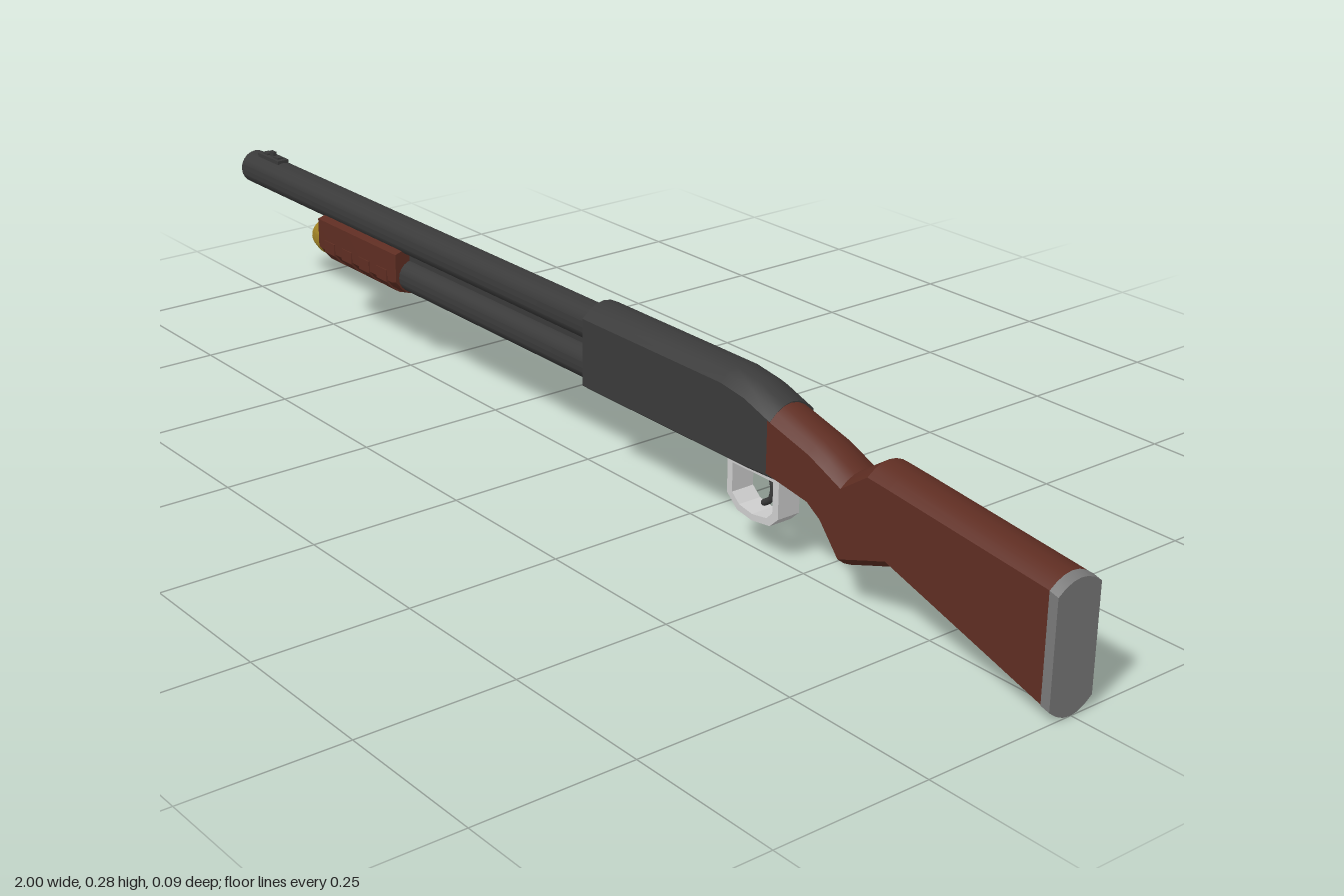
import * as THREE from 'three';
import { toCreasedNormals } from 'three/addons/utils/BufferGeometryUtils.js';

const mat = (name, color, side = THREE.FrontSide) => {
  const m = new THREE.MeshStandardMaterial({ color, side });
  m.name = name;
  return m;
};

// Cross-section with flat sides and a bowed top and bottom, in the yz plane
function ring([x, top, bottom, half, riseTop, riseBottom]) {
  const pts = [], n = 6;
  for (let i = 0; i <= n; i++) {
    const t = 1 - (2 * i) / n;
    pts.push([x, top - riseTop * t * t, half * t]);
  }
  for (let i = 0; i <= n; i++) {
    const t = -1 + (2 * i) / n;
    pts.push([x, bottom + riseBottom * t * t, half * t]);
  }
  return pts;
}

// Skin a row of cross-sections along x and close both ends
function loft(sections) {
  const rings = sections.map(ring), pos = [];
  const tri = (a, b, c) => pos.push(...a, ...b, ...c);
  const n = rings[0].length;
  for (let i = 0; i < rings.length - 1; i++) {
    for (let j = 0; j < n; j++) {
      const k = (j + 1) % n;
      const a = rings[i][j], b = rings[i][k], c = rings[i + 1][k], d = rings[i + 1][j];
      tri(a, d, b);
      tri(b, d, c);
    }
  }
  const first = rings[0], last = rings[rings.length - 1];
  for (let j = 1; j < n - 1; j++) {
    tri(first[0], first[j], first[j + 1]);
    tri(last[0], last[j + 1], last[j]);
  }
  const g = new THREE.BufferGeometry();
  g.setAttribute('position', new THREE.Float32BufferAttribute(pos, 3));
  return toCreasedNormals(g, 0.4);
}

// Turn a [radius, x] profile around a horizontal axis
function turned(profile, segments = 20) {
  const g = new THREE.LatheGeometry(profile.map(([r, x]) => new THREE.Vector2(r, -x)), segments);
  g.rotateZ(Math.PI / 2);
  return toCreasedNormals(g, 0.6);
}

export function createModel() {
  const group = new THREE.Group();
  const metal = mat('dark metal', 0x3a3a3a);
  const black = mat('black recess', 0x161616);
  const wood = mat('red brown wood', 0x5e2d22);
  const pad = mat('grey pad', 0x787878);
  const brass = mat('brass', 0xa08224);
  const silver = mat('silver', 0xcccccc);

  const add = (name, geometry, material, x = 0, y = 0, z = 0) => {
    const m = new THREE.Mesh(geometry, material);
    m.name = name;
    m.position.set(x, y, z);
    group.add(m);
    return m;
  };
  const box = (name, material, w, h, d, x, y, z) =>
    add(name, new THREE.BoxGeometry(w, h, d), material, x, y, z);

  // Barrel with a shallow open bore, and the tube below it
  add('barrel', turned([[0, 0.06], [0.0295, 0.06], [0.0295, -1], [0.023, -1], [0.023, -0.97]]), metal, 0, 0.235);
  add('bore', turned([[0.0235, -0.96], [0.0235, -0.97], [0, -0.97]]), black, 0, 0.235);
  add('lowerTube', turned([[0, 0.06], [0.028, 0.06], [0.028, -0.72], [0, -0.72]]), metal, 0, 0.168);
  box('tubeSpacer', metal, 0.55, 0.03, 0.012, -0.22, 0.2, 0);

  // Front sight
  box('sightBase', metal, 0.07, 0.012, 0.022, -0.935, 0.263, 0);
  for (const dx of [-0.018, 0.018]) box('sightStep', metal, 0.016, 0.006, 0.012, -0.935 + dx, 0.269, 0);
  box('sightPost', metal, 0.014, 0.014, 0.006, -0.935, 0.271, 0);

  // Sliding grip with raised ribs underneath
  add('foreGrip', loft([
    [-0.73, 0.217, 0.136, 0.034, 0.006, 0.026],
    [-0.72, 0.218, 0.134, 0.036, 0.006, 0.026],
    [-0.495, 0.218, 0.134, 0.036, 0.006, 0.026],
    [-0.485, 0.217, 0.136, 0.034, 0.006, 0.026],
  ]), wood);
  for (let i = 0; i < 4; i++) {
    const x = -0.69 + i * 0.055;
    add('gripRib', loft([
      [x - 0.016, 0.18, 0.131, 0.0375, 0.002, 0.026],
      [x + 0.016, 0.18, 0.131, 0.0375, 0.002, 0.026],
    ]), wood);
  }

  // Brass end cap
  add('endCap', turned([
    [0, -0.72], [0.031, -0.72], [0.031, -0.745], [0.025, -0.768],
    [0.011, -0.77], [0.009, -0.785], [0, -0.785],
  ]), brass, 0, 0.168);

  // Receiver, sloping down towards the stock
  add('receiver', loft([
    [0.04, 0.277, 0.13, 0.041, 0.021, 0.018],
    [0.36, 0.277, 0.13, 0.041, 0.021, 0.018],
    [0.41, 0.27, 0.13, 0.041, 0.021, 0.018],
    [0.465, 0.252, 0.132, 0.041, 0.021, 0.018],
  ]), metal);
  box('portRecess', black, 0.13, 0.028, 0.003, 0.235, 0.22, -0.041);
  box('portBolt', metal, 0.112, 0.012, 0.004, 0.235, 0.219, -0.0415);

  // Stock: wrist, comb step and flared butt
  add('stock', loft([
    [0.46, 0.252, 0.134, 0.039, 0.02, 0.018],
    [0.545, 0.228, 0.122, 0.039, 0.018, 0.018],
    [0.572, 0.217, 0.105, 0.039, 0.018, 0.018],
    [0.61, 0.2, 0.06, 0.039, 0.017, 0.018],
    [0.66, 0.234, 0.078, 0.039, 0.016, 0.018],
    [0.7, 0.23, 0.092, 0.039, 0.016, 0.018],
    [0.985, 0.199, 0.005, 0.039, 0.016, 0.018],
  ]), wood, 0, 0, 0.002);
  add('buttPad', loft([
    [0.985, 0.199, 0.004, 0.0395, 0.016, 0.018],
    [1, 0.195, 0, 0.0395, 0.016, 0.018],
  ]), pad, 0, 0, 0.002);

  // Trigger guard loop
  const guard = new THREE.Shape([
    [0.355, 0.137], [0.355, 0.08], [0.378, 0.06], [0.41, 0.055],
    [0.448, 0.06], [0.465, 0.076], [0.465, 0.137],
  ].map(([x, y]) => new THREE.Vector2(x, y)));
  guard.holes.push(new THREE.Path([
    [0.366, 0.13], [0.453, 0.13], [0.453, 0.082], [0.441, 0.07],
    [0.41, 0.065], [0.382, 0.07], [0.366, 0.084],
  ].map(([x, y]) => new THREE.Vector2(x, y))));
  add('triggerGuard', new THREE.ExtrudeGeometry(guard, { depth: 0.04, bevelEnabled: false }), silver, 0, 0, -0.02);

  // Curved trigger
  const curve = new THREE.CatmullRomCurve3([
    new THREE.Vector3(0.42, 0.138, 0), new THREE.Vector3(0.432, 0.11, 0),
    new THREE.Vector3(0.428, 0.09, 0), new THREE.Vector3(0.412, 0.078, 0),
  ]);
  add('trigger', new THREE.TubeGeometry(curve, 10, 0.005, 8), metal);

  return group;
}
